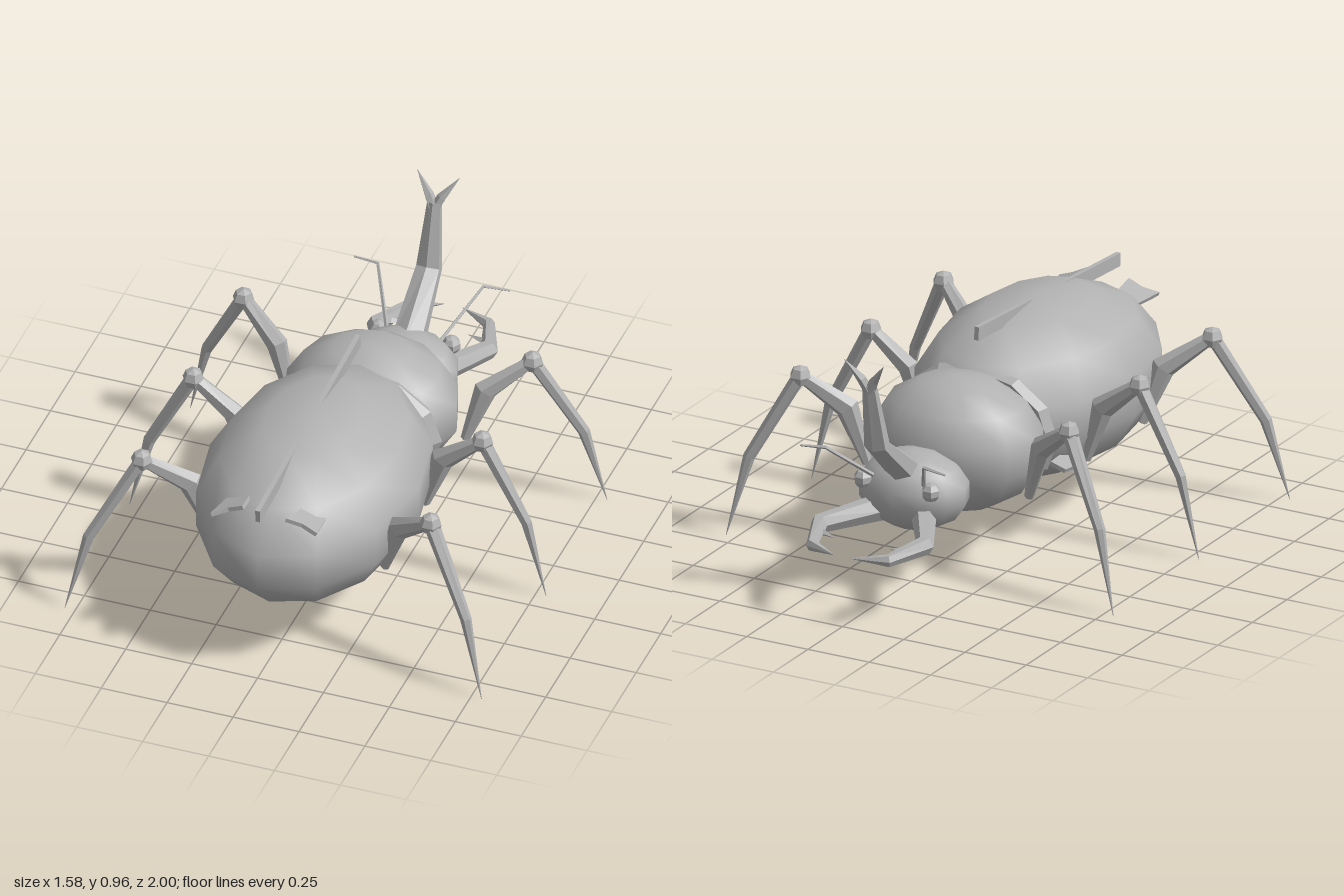
import * as THREE from 'three';

const shell = new THREE.MeshStandardMaterial({ color: 0xb2b2b2 });
shell.name = 'grey shell';

function add(parent, name, geometry) {
  const mesh = new THREE.Mesh(geometry, shell);
  mesh.name = name;
  parent.add(mesh);
  return mesh;
}

// Faceted normals on a geometry
function facet(geometry) {
  const g = geometry.index ? geometry.toNonIndexed() : geometry;
  g.computeVertexNormals();
  return g;
}

// Tapered faceted limb: points are [x, y, z], radii are [across, along]
function limb(points, radii, ref, sides = 6) {
  const path = points.map(p => new THREE.Vector3(...p));
  const n = path.length;
  const pos = [], index = [];
  const axis = new THREE.Vector3(...ref);
  path.forEach((p, i) => {
    const before = p.clone().sub(path[Math.max(i - 1, 0)]).normalize();
    const after = path[Math.min(i + 1, n - 1)].clone().sub(p).normalize();
    const t = before.add(after).normalize();
    const side = axis.clone().cross(t).normalize();
    const up = t.clone().cross(side);
    for (let j = 0; j < sides; j++) {
      const a = (j / sides) * Math.PI * 2;
      const v = p.clone()
        .addScaledVector(side, radii[i][0] * Math.cos(a))
        .addScaledVector(up, radii[i][1] * Math.sin(a));
      pos.push(v.x, v.y, v.z);
    }
  });
  for (let i = 0; i < n - 1; i++) {
    for (let j = 0; j < sides; j++) {
      const k = (j + 1) % sides;
      const a = i * sides + j, b = i * sides + k;
      index.push(a, b, b + sides, a, b + sides, a + sides);
    }
  }
  for (let j = 1; j < sides - 1; j++) {
    const e = (n - 1) * sides;
    index.push(0, j + 1, j, e, e + j, e + j + 1);
  }
  const g = new THREE.BufferGeometry();
  g.setAttribute('position', new THREE.Float32BufferAttribute(pos, 3));
  g.setIndex(index);
  return facet(g);
}

// Smooth low-poly body lobe
function lobe(parent, name, center, radius) {
  const g = new THREE.SphereGeometry(1, 12, 7);
  g.scale(...radius);
  add(parent, name, g).position.set(...center);
}

// One leg in a vertical plane; z follows x with the given slope
function leg(parent, name, s, kneeZ, slope) {
  const group = new THREE.Group();
  group.name = name;
  const at = (x, y) => [s * x, y, kneeZ + (x - 0.545) * slope];
  const len = Math.hypot(1, slope);
  const ref = [-slope / len, 0, s / len];
  add(group, 'femur', limb(
    [at(0.33, 0.3), at(0.395, 0.51), at(0.545, 0.625)],
    [[0.018, 0.018], [0.045, 0.035], [0.024, 0.024]], ref));
  add(group, 'knee', facet(new THREE.SphereGeometry(0.041, 6, 4)))
    .position.set(...at(0.548, 0.625));
  add(group, 'tibia', limb(
    [at(0.55, 0.625), at(0.715, 0.31), at(0.79, 0.005)],
    [[0.026, 0.03], [0.022, 0.02], [0.001, 0.001]], ref));
  parent.add(group);
}

// Thin pointed scale lying flat in its own xz plane
function scaleGeometry(w, l, t) {
  const shape = new THREE.Shape();
  shape.moveTo(-w / 2, -l / 2);
  shape.lineTo(0, -l * 0.32);
  shape.lineTo(w / 2, -l * 0.35);
  shape.lineTo(w * 0.45, l / 2);
  shape.lineTo(-w * 0.3, l * 0.42);
  const g = new THREE.ExtrudeGeometry(shape, { depth: t, bevelEnabled: false });
  g.translate(0, 0, -t / 2);
  g.rotateX(-Math.PI / 2);
  return g;
}

export function createModel() {
  const beetle = new THREE.Group();
  beetle.name = 'beetle';

  // Body
  lobe(beetle, 'abdomen', [0, 0.466, 0.42], [0.405, 0.325, 0.594]);
  lobe(beetle, 'thorax', [0, 0.43, -0.165], [0.33, 0.25, 0.267]);
  lobe(beetle, 'head', [0, 0.355, -0.48], [0.212, 0.146, 0.168]);

  // Collar between thorax and abdomen
  const collar = new THREE.TorusGeometry(0.29, 0.034, 5, 12);
  collar.scale(1, 0.73, 1);
  add(beetle, 'collar', facet(collar)).position.set(0, 0.435, -0.012);

  // Ridge along the wing case seam
  const ridge = add(beetle, 'wingSeam', new THREE.BoxGeometry(0.018, 0.05, 1.03));
  ridge.position.set(0, 0.752, 0.485);
  ridge.rotation.x = 0.07;

  // Forked horn
  const horn = new THREE.Group();
  horn.name = 'horn';
  beetle.add(horn);
  add(horn, 'hornStem', limb(
    [[0, 0.42, -0.52], [0, 0.615, -0.75], [0, 0.865, -0.805]],
    [[0.06, 0.065], [0.035, 0.05], [0.02, 0.028]], [1, 0, 0]));

  for (const s of [1, -1]) {
    const sideName = s > 0 ? 'left' : 'right';

    add(horn, sideName + 'HornProng', limb(
      [[0, 0.835, -0.8], [s * 0.025, 0.885, -0.815], [s * 0.08, 0.96, -0.845]],
      [[0.02, 0.022], [0.018, 0.018], [0.001, 0.001]], [0, 0, 1], 5));

    // Legs
    leg(beetle, sideName + 'HeadEndLeg', s, -0.33, -0.45);
    leg(beetle, sideName + 'MiddleLeg', s, 0.18, 0);
    leg(beetle, sideName + 'TailEndLeg', s, 0.705, 0.55);

    // Mandible with a small inner tooth
    add(beetle, sideName + 'Mandible', limb(
      [[s * 0.09, 0.295, -0.57], [s * 0.215, 0.282, -0.785],
        [s * 0.155, 0.268, -0.945], [s * 0.035, 0.272, -1]],
      [[0.045, 0.05], [0.034, 0.036], [0.022, 0.024], [0.001, 0.001]], [0, 1, 0]));
    add(beetle, sideName + 'MandibleTooth', limb(
      [[s * 0.19, 0.277, -0.83], [s * 0.11, 0.272, -0.855]],
      [[0.02, 0.016], [0.001, 0.001]], [0, 1, 0], 4));

    // Eye
    add(beetle, sideName + 'Eye', facet(new THREE.SphereGeometry(0.036, 6, 5)))
      .position.set(s * 0.138, 0.408, -0.605);

    // Elbowed antenna
    add(beetle, sideName + 'Antenna', limb(
      [[s * 0.1, 0.42, -0.59], [s * 0.2, 0.57, -0.765], [s * 0.295, 0.565, -0.78]],
      [[0.008, 0.008], [0.007, 0.007], [0.004, 0.004]], [0, 1, 0], 4));

    // Raised scales at the tail and low on the flank
    const tailScale = add(beetle, sideName + 'TailScale', scaleGeometry(0.12, 0.13, 0.016));
    tailScale.position.set(s * 0.14, 0.653, 0.88);
    tailScale.rotation.set(-0.12, 0, -s * 0.38);
    const flankScale = add(beetle, sideName + 'FlankScale', scaleGeometry(0.08, 0.12, 0.016));
    flankScale.position.set(s * 0.3, 0.31, 0.09);
    flankScale.rotation.set(0, 0, -s * 0.4);
  }

  return beetle;
}
